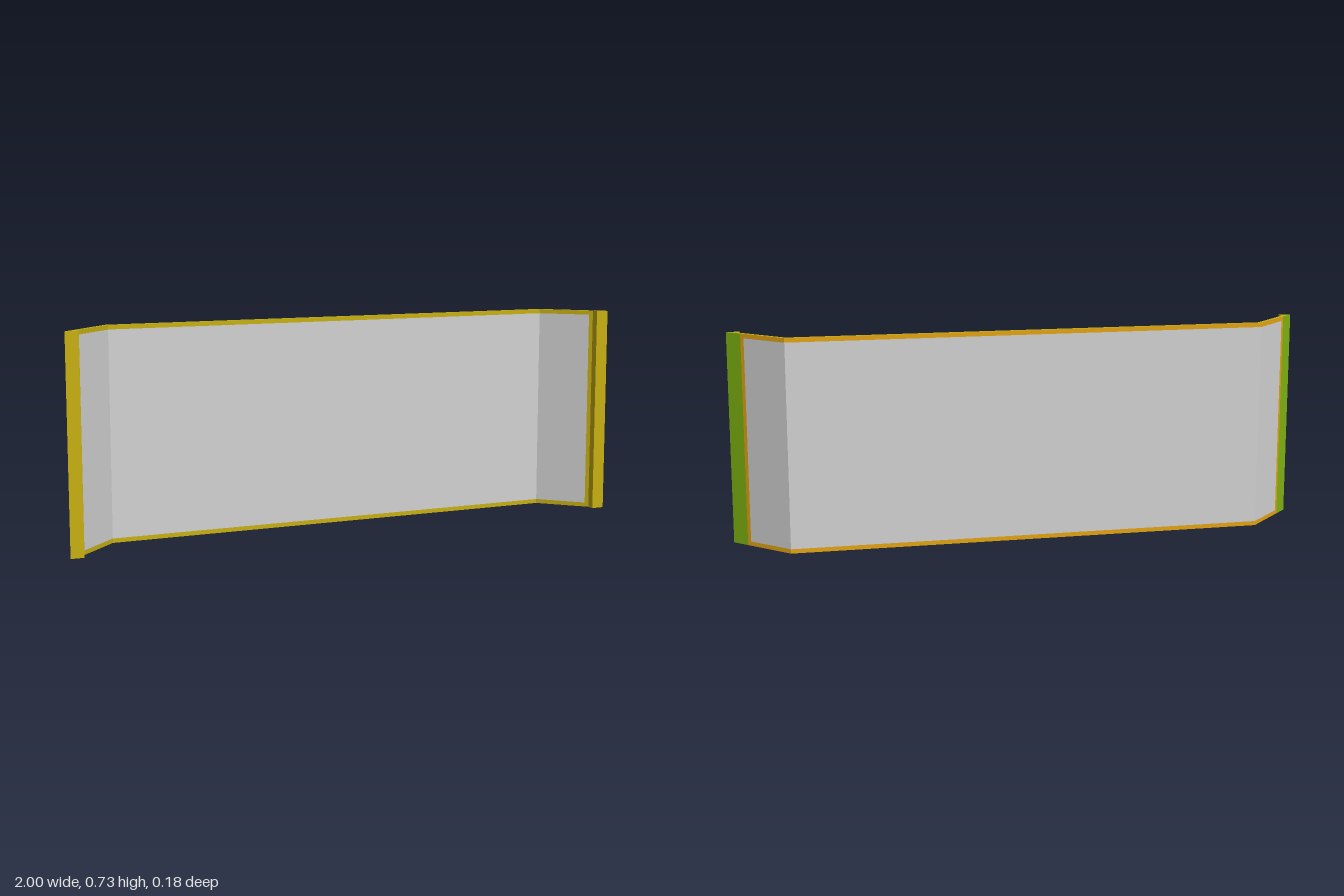
import * as THREE from 'three';

const H = 0.727, RIM = 0.015;
const mat = (name, color) => new THREE.MeshStandardMaterial({ name, color });

// Mirror a right-hand run of [x, z] points, keeping the left-to-right order
const mirror = (pts) => pts.map(([x, z]) => [-x, z]).reverse();

// Vertical wall along a run of [x, z] points; it faces the viewer for whom the run goes left to right
function wall(name, pts, y0, y1, material) {
  const pos = [];
  for (let i = 0; i < pts.length - 1; i++) {
    const [ax, az] = pts[i], [bx, bz] = pts[i + 1];
    pos.push(ax, y0, az, bx, y0, bz, bx, y1, bz, ax, y0, az, bx, y1, bz, ax, y1, az);
  }
  const g = new THREE.BufferGeometry();
  g.setAttribute('position', new THREE.Float32BufferAttribute(pos, 3));
  g.computeVertexNormals();
  const m = new THREE.Mesh(g, material);
  m.name = name;
  return m;
}

// Flat cap over the outline, facing up (dir 1) or down (dir -1)
function cap(name, outline, y, dir, material) {
  const shape = new THREE.Shape(outline.map(([x, z]) => new THREE.Vector2(x, -dir * z)));
  const g = new THREE.ShapeGeometry(shape).rotateX(-dir * Math.PI / 2).translate(0, y, 0);
  const m = new THREE.Mesh(g, material);
  m.name = name;
  return m;
}

export function createModel() {
  const group = new THREE.Group();
  group.name = 'foldedPanel';
  const grey = mat('panelGrey', 0xd2d2d2);
  const olive = mat('edgeOlive', 0xc7b012);
  const green = mat('flangeGreen', 0x80b412);
  const orange = mat('backRimOrange', 0xe4a412);

  // Plan section: inner fold, panel end, foot and tip on the front; fold and strips on the back
  const fold = [0.815, -0.077], panelEnd = [0.945, 0.053], heel = [0.955, 0.063];
  const foot = [0.955, 0.09], tip = [1, 0.09];
  const backFold = [0.82, -0.09], backPanelEnd = [0.945, 0.035], greenStart = [0.955, 0.045];

  const both = (name, pts, y0, y1, m) => {
    group.add(wall('left' + name, pts, y0, y1, m), wall('right' + name, mirror(pts), y0, y1, m));
  };

  // Grey panel, front and back
  const front = [...mirror([fold, panelEnd]), fold, panelEnd];
  const back = [backPanelEnd, backFold, ...mirror([backPanelEnd, backFold])];
  group.add(wall('panelFront', front, RIM, H - RIM, grey));
  group.add(wall('panelBack', back, RIM, H - RIM, grey));

  // Top and bottom rims
  for (const [label, y] of [['bottom', 0], ['top', H - RIM]]) {
    group.add(wall(label + 'RimFront', front, y, y + RIM, olive));
    group.add(wall(label + 'RimBack', back, y, y + RIM, orange));
  }

  // End rims, front feet and green outer flanges
  both('RimFront', [panelEnd, heel], 0, H, olive);
  both('Foot', [heel, foot, tip], 0, H, olive);
  both('RimBack', [greenStart, backPanelEnd], 0, H, orange);
  both('Flange', [tip, greenStart], 0, H, green);

  // Edge caps
  const half = [fold, heel, foot, tip, backFold];
  const outline = [fold, heel, foot, tip, backFold, ...mirror(half)];
  group.add(cap('topEdge', outline, H, 1, olive), cap('bottomEdge', outline, 0, -1, olive));
  return group;
}
